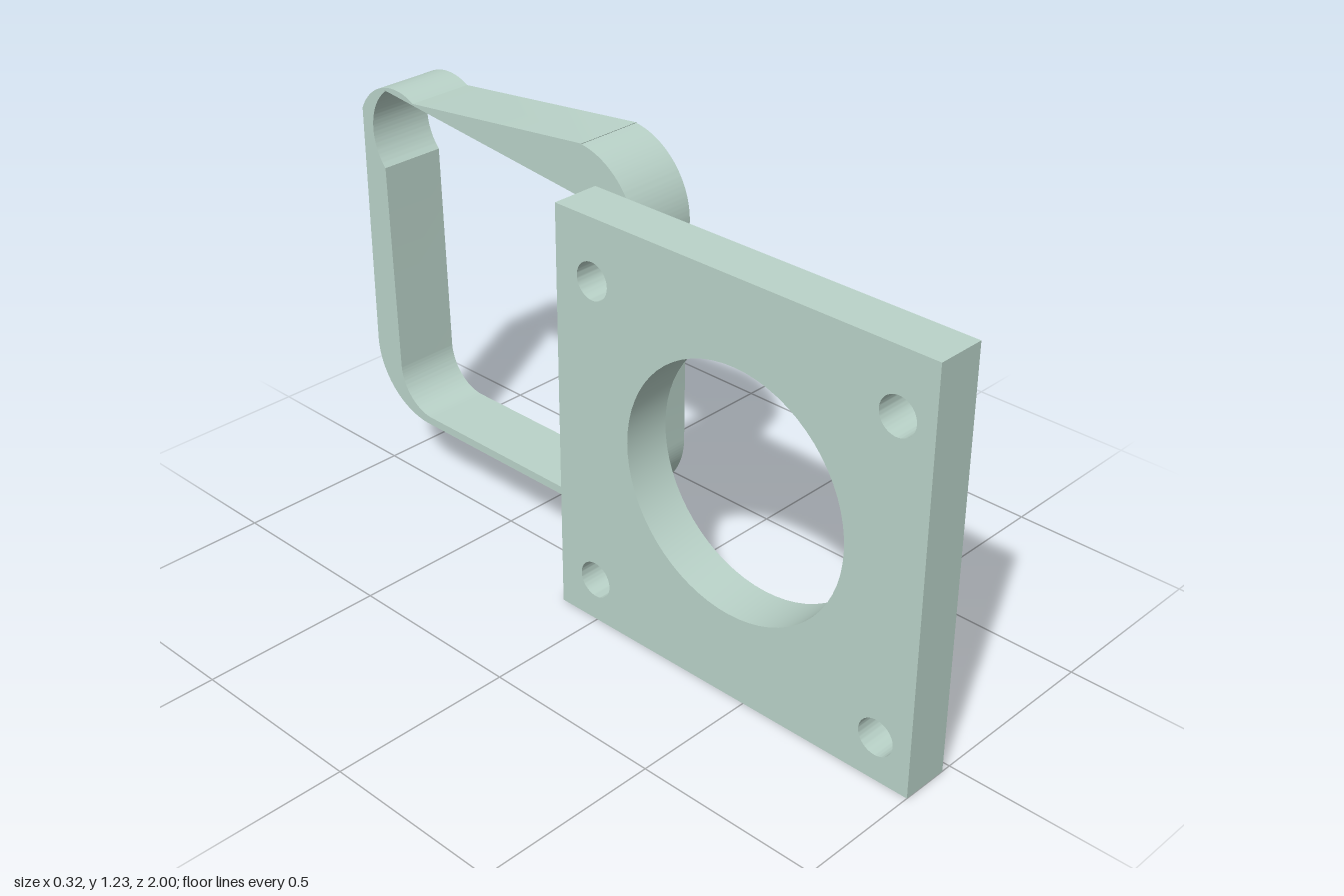
import * as THREE from 'three';
import { toCreasedNormals } from 'three/addons/utils/BufferGeometryUtils.js';

const material = new THREE.MeshStandardMaterial({ color: 0xbad3c9 });

// Extrudes a side profile (u = -z, v = y) from x0 to x1.
function sidePart(name, shape, x0, x1) {
  const extruded = new THREE.ExtrudeGeometry(shape, { depth: x1 - x0, bevelEnabled: false, curveSegments: 32 });
  const geometry = toCreasedNormals(extruded, 0.4);
  geometry.rotateY(Math.PI / 2);
  geometry.translate(x0, 0, 0);
  const mesh = new THREE.Mesh(geometry, material);
  mesh.name = name;
  return mesh;
}

function circleHole(u, v, r) {
  return new THREE.Path().absarc(u, v, r, 0, Math.PI * 2, true);
}

// Square mounting plate with a large bore and four corner holes
function plateShape() {
  const s = new THREE.Shape();
  s.moveTo(-1, 0).lineTo(0.125, 0).lineTo(0.125, 1.13).lineTo(-1, 1.13).closePath();
  s.holes.push(circleHole(-0.445, 0.572, 0.335));
  for (const u of [-0.9, 0.005])
    for (const v of [0.12, 0.965]) s.holes.push(circleHole(u, v, 0.05));
  return s;
}

// Closed loop band with uneven wall thickness
function loopShape() {
  const PI = Math.PI;
  const s = new THREE.Shape();
  s.moveTo(0.2, 0.202).lineTo(0.8, 0.202);
  s.absarc(0.8, 0.402, 0.2, -PI / 2, 0, false);
  s.lineTo(1, 1.085);
  s.absarc(0.864, 1.024, 0.15, 0.43, 2.08, false);
  s.lineTo(0.17, 1.225);
  s.absarc(0.195, 1.02, 0.205, 1.69, PI + 0.314, false);
  s.lineTo(0, 0.402);
  s.absarc(0.2, 0.402, 0.2, PI, PI * 1.5, false);

  const h = new THREE.Path();
  h.moveTo(0.07, 0.355).lineTo(0.07, 0.955);
  h.absarc(0.2, 0.957, 0.13, PI, PI / 2 + 0.1, true);
  h.lineTo(0.903, 1.162);
  h.absarc(0.81, 1.04, 0.15, 0.9, -0.75, true);
  h.lineTo(0.905, 0.35);
  h.absellipse(0.785, 0.35, 0.12, 0.125, 0, -PI / 2, true, 0);
  h.lineTo(0.2, 0.225);
  h.absarc(0.2, 0.355, 0.13, -PI / 2, -PI, true);
  s.holes.push(h);
  return s;
}

export function createModel() {
  const group = new THREE.Group();
  group.name = 'plateAndLoop';
  group.add(sidePart('mountingPlate', plateShape(), -0.16, -0.027));
  group.add(sidePart('loopBand', loopShape(), -0.027, 0.16));
  return group;
}
